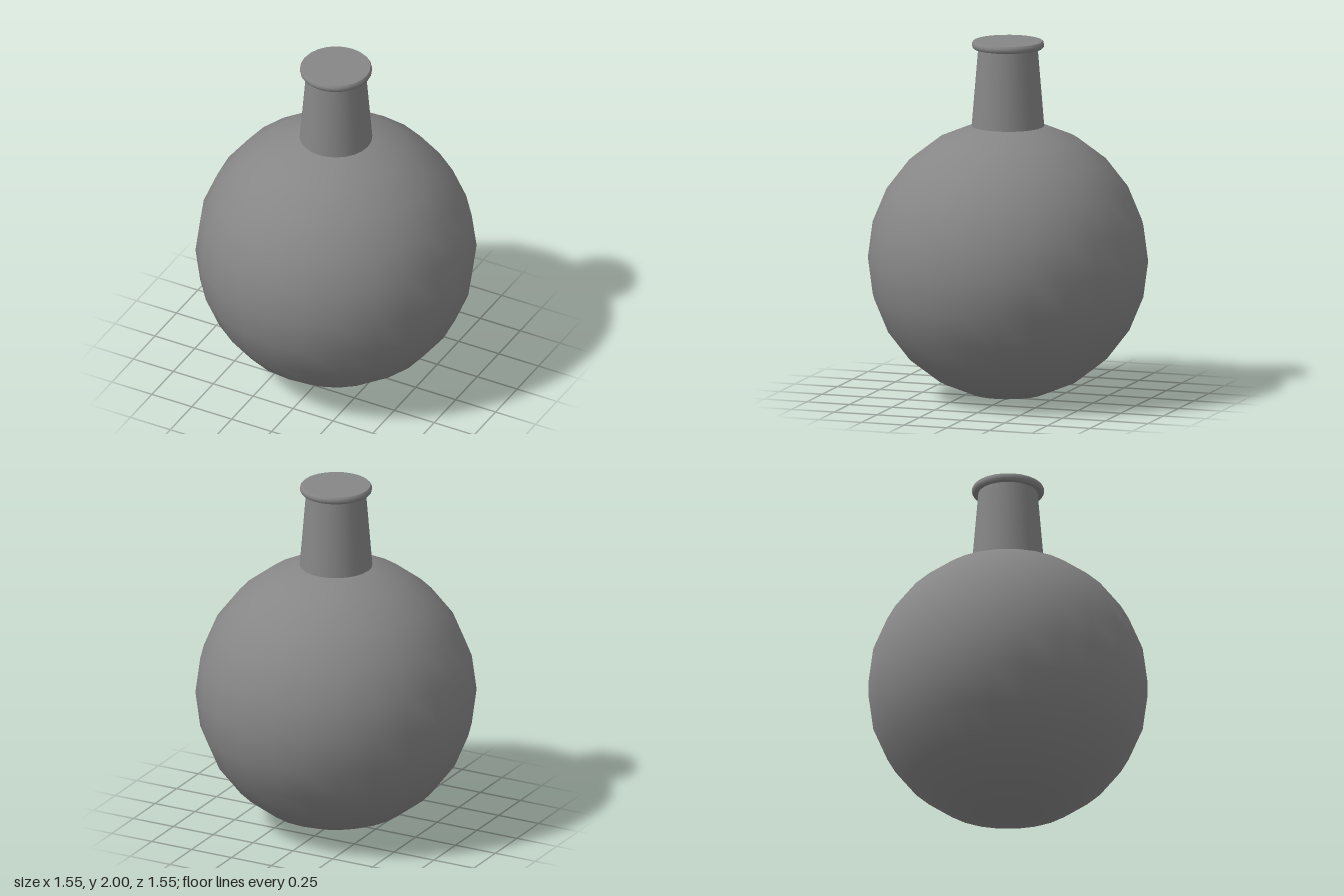
import * as THREE from 'three';

const SIDES = 24;
const RADIUS = 0.776;
const STEP = Math.PI / 12;

export function createModel() {
  const group = new THREE.Group();
  const material = new THREE.MeshStandardMaterial({ color: 0x868686 });

  const add = (name, geometry, y = 0) => {
    const mesh = new THREE.Mesh(geometry, material);
    mesh.name = name;
    mesh.position.y = y;
    group.add(mesh);
    return mesh;
  };

  // Round body, open under the neck
  add('body', new THREE.SphereGeometry(RADIUS, SIDES, 11, 0, Math.PI * 2, STEP, Math.PI - STEP), RADIUS);

  // Tapered neck, starting on the body's top ring
  const neckBottom = RADIUS * (1 + Math.cos(STEP));
  const rimBottom = 1.96;
  const neckHeight = rimBottom - neckBottom;
  add('neck', new THREE.CylinderGeometry(0.165, RADIUS * Math.sin(STEP), neckHeight, SIDES, 1, true),
    neckBottom + neckHeight / 2);

  // Rounded rim around the mouth
  const rimProfile = [
    [0.191, rimBottom], [0.198, 1.969], [0.2, 1.98], [0.198, 1.991], [0.191, 2],
  ].map(([r, y]) => new THREE.Vector2(r, y));
  add('rim', new THREE.LatheGeometry(rimProfile, SIDES));

  // Flat underside of the rim
  const underside = add('rimUnderside', new THREE.RingGeometry(0.16, 0.191, SIDES), rimBottom);
  underside.rotation.x = Math.PI / 2;

  // Flat cap closing the mouth
  const cap = add('cap', new THREE.CircleGeometry(0.191, SIDES), 2);
  cap.rotation.x = -Math.PI / 2;

  return group;
}
